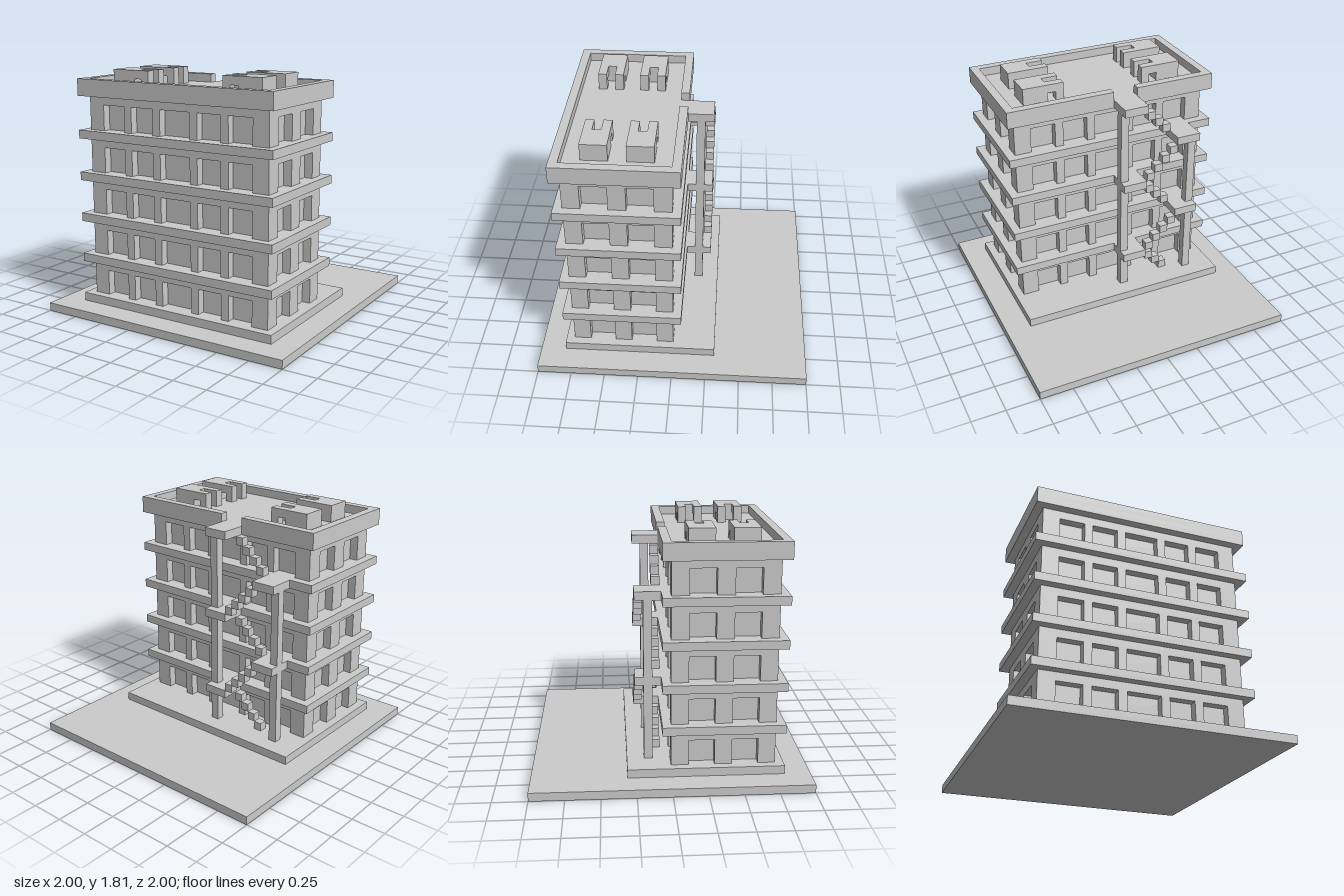
import * as THREE from 'three';

const U = 1 / 16; // building module
const material = new THREE.MeshStandardMaterial({ color: 0xcccccc, flatShading: true });

// Box given by its min and max corners, in modules
function block(parent, name, x0, x1, y0, y1, z0, z1) {
  const geometry = new THREE.BoxGeometry((x1 - x0) * U, (y1 - y0) * U, (z1 - z0) * U);
  const mesh = new THREE.Mesh(geometry, material);
  mesh.position.set((x0 + x1) * U / 2, (y0 + y1) * U / 2, (z0 + z1) * U / 2);
  mesh.name = name;
  parent.add(mesh);
  return mesh;
}

// Wall panel, one module thick, with window notches rising from the floor
function wallPanel(halfWidth, windows) {
  const shape = new THREE.Shape();
  shape.moveTo(-halfWidth * U, 0);
  for (const [a, b] of windows) {
    shape.lineTo(a * U, 0);
    shape.lineTo(a * U, 3 * U);
    shape.lineTo(b * U, 3 * U);
    shape.lineTo(b * U, 0);
  }
  shape.lineTo(halfWidth * U, 0);
  shape.lineTo(halfWidth * U, 4 * U);
  shape.lineTo(-halfWidth * U, 4 * U);
  shape.closePath();
  return new THREE.ExtrudeGeometry(shape, { depth: U, bevelEnabled: false });
}

export function createModel() {
  const model = new THREE.Group();
  model.name = 'apartmentBuilding';

  block(model, 'ground', -16, 16, 0, 1, -16, 16);
  block(model, 'base', -13, 13, 1, 2, -5, 13);

  // Storeys: recessed core, four window walls, floor slab above
  const longWall = wallPanel(12, [[-10, -7], [-6, -3], [-2, 2], [3, 6], [7, 10]]);
  const shortWall = wallPanel(5, [[-4, -1], [1, 4]]);
  const sides = [
    ['frontWall', longWall, 0, 11, 0],
    ['backWall', longWall, 0, 1, Math.PI],
    ['leftWall', shortWall, 11, 6, Math.PI / 2],
    ['rightWall', shortWall, -11, 6, -Math.PI / 2],
  ];
  for (let i = 0; i < 5; i++) {
    const storey = new THREE.Group();
    storey.name = 'storey' + (i + 1);
    const y = 2 + 5 * i;
    block(storey, 'core', -11, 11, y, y + 4, 1, 11);
    for (const [name, geometry, x, z, turn] of sides) {
      const wall = new THREE.Mesh(geometry, material);
      wall.name = name;
      wall.position.set(x * U, y * U, z * U);
      wall.rotation.y = turn;
      storey.add(wall);
    }
    block(storey, i < 4 ? 'floorSlab' : 'roofSlab', -13, 13, y + 4, y + 5, -1, 13);
    model.add(storey);
  }

  // Parapet, open at the back where the stairs arrive
  const parapet = new THREE.Group();
  parapet.name = 'parapet';
  block(parapet, 'parapetFront', -13, 13, 27, 28, 12, 13);
  block(parapet, 'parapetLeft', 12, 13, 27, 28, 0, 12);
  block(parapet, 'parapetRight', -13, -12, 27, 28, 0, 12);
  block(parapet, 'parapetBackLeft', 0, 13, 27, 28, -1, 0);
  block(parapet, 'parapetBackRight', -13, -3, 27, 28, -1, 0);
  model.add(parapet);

  // Roof units, each with two bent pipes towards the middle
  for (const s of [-1, 1]) {
    for (const z of [2, 7]) {
      const unit = new THREE.Group();
      unit.name = 'roofUnit';
      const part = (name, a, b, ...rest) => block(unit, name, Math.min(s * a, s * b), Math.max(s * a, s * b), ...rest);
      part('unitBody', 7, 10, 27, 29, z, z + 3);
      for (const pz of [z, z + 2]) {
        part('pipeArm', 5, 7, 28, 29, pz, pz + 1);
        part('pipeLeg', 5, 6, 27, 28, pz, pz + 1);
      }
      model.add(unit);
    }
  }

  // Outside stairs: alternating flights and landings on two posts
  const stairs = new THREE.Group();
  stairs.name = 'outsideStairs';
  block(stairs, 'tallPost', -1, 0, 2, 26, -3, -2);
  block(stairs, 'shortPost', -10, -9, 2, 21, -3, -2);
  for (let i = 0; i < 5; i++) {
    const y = 2 + 5 * i;
    const inner = i % 2 === 0;
    const z = inner ? -2 : -4;
    for (let k = 0; k < 4; k++) {
      const x = inner ? -7 + k : -4 - k;
      block(stairs, 'step', x, x + 1, y + k, y + k + 1, z, z + 1);
    }
    const x = inner ? -3 : -10;
    block(stairs, 'landing', x, x + 3, y + 4, y + 5, -4, -1);
  }
  model.add(stairs);

  return model;
}
